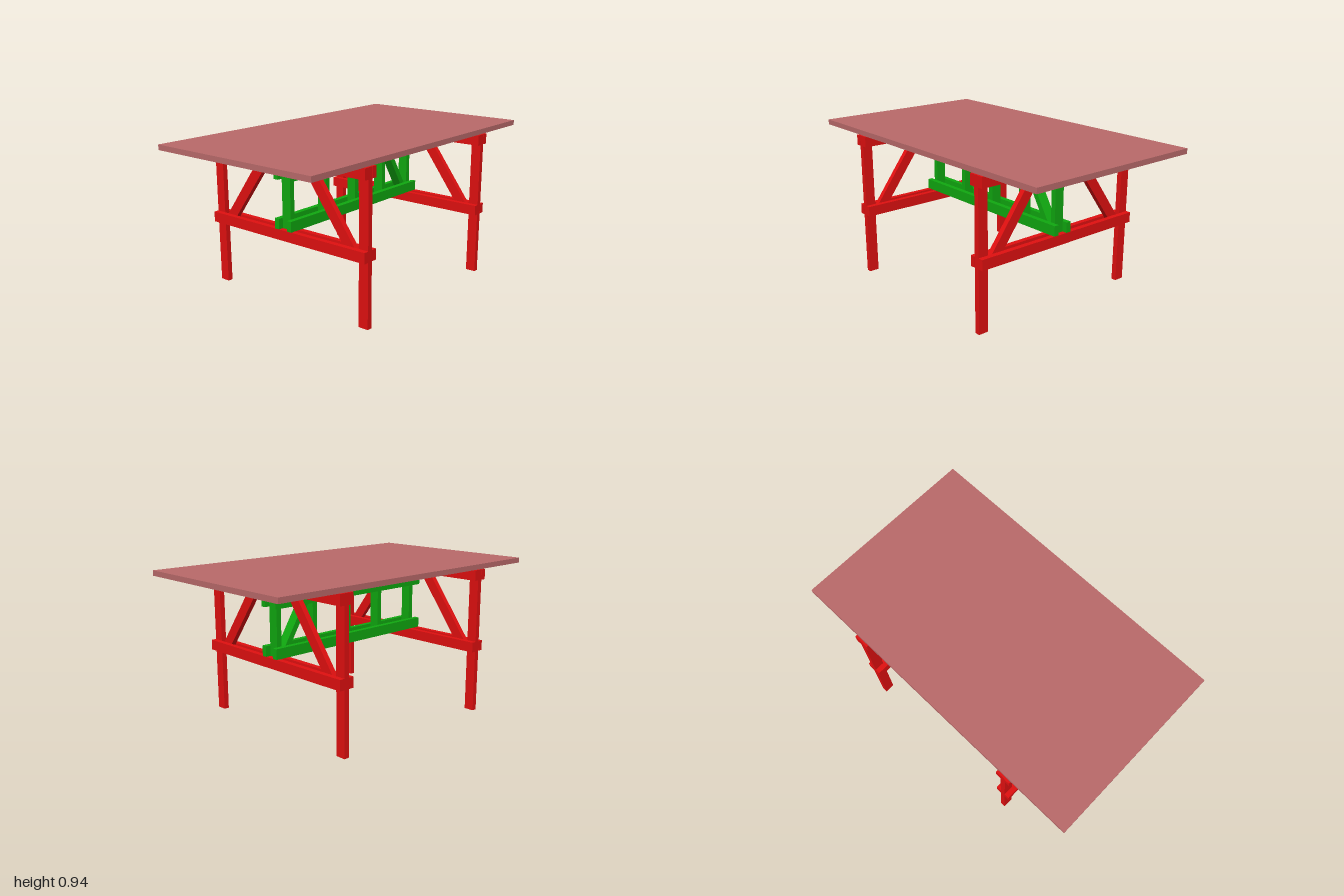
import * as THREE from 'three';

const T = 0.032;                 // plank thickness
const FRAME_Z = 0.565;           // centre plane of each trestle frame
const LOW = [0.389, 0.452], HIGH = [0.841, 0.905];     // trestle rail heights
const BEAM_LOW = [0.452, 0.515], BEAM_HIGH = [0.745, 0.808];

const red = new THREE.MeshStandardMaterial({ color: 0xe01010 });
const green = new THREE.MeshStandardMaterial({ color: 0x10a810 });
const topColor = new THREE.MeshStandardMaterial({ color: 0xb96a6a });

// Box given by its extents along each axis
function plank(parent, name, material, [x0, x1], [y0, y1], [z0, z1]) {
  const mesh = new THREE.Mesh(new THREE.BoxGeometry(x1 - x0, y1 - y0, z1 - z0), material);
  mesh.position.set((x0 + x1) / 2, (y0 + y1) / 2, (z0 + z1) / 2);
  mesh.name = name;
  parent.add(mesh);
}

// Flat board with a polygon outline, centred on its own plane
function board(parent, name, material, points, depth) {
  const shape = new THREE.Shape(points.map(([x, y]) => new THREE.Vector2(x, y)));
  const geometry = new THREE.ExtrudeGeometry(shape, { depth, bevelEnabled: false });
  geometry.translate(0, 0, -depth / 2);
  const mesh = new THREE.Mesh(geometry, material);
  mesh.name = name;
  parent.add(mesh);
  return mesh;
}

const around = (c, size) => [c - size / 2, c + size / 2];

// Trestle: two legs, two slanted braces and a post clasped by doubled rails
function trestle(name, z) {
  const g = new THREE.Group();
  g.name = name;
  for (const s of [-1, 1]) {
    plank(g, 'leg', red, around(s * 0.56, 0.063), [0, HIGH[1]], around(0, T));
    const outline = [[0.081, 0.905], [0.466, 0.389], [0.53, 0.389], [0.53, 0.409], [0.161, 0.905]];
    board(g, 'legBrace', red, outline.map(([x, y]) => [s * x, y]), T);
    plank(g, 'upperRail', red, [-0.593, 0.593], HIGH, around(s * T, T));
    plank(g, 'lowerRail', red, [-0.593, 0.593], LOW, around(s * T, T));
  }
  plank(g, 'centrePost', green, around(0, 0.064), [LOW[0], HIGH[1]], around(0, T));
  g.position.z = z;
  return g;
}

export function createModel() {
  const model = new THREE.Group();
  model.name = 'trestleTable';

  plank(model, 'tableTop', topColor, [-0.58, 0.58], [0.905, 0.937], [-1, 1]);
  model.add(trestle('frontTrestle', FRAME_Z), trestle('backTrestle', -FRAME_Z));

  // Long truss joining the trestles
  const truss = new THREE.Group();
  truss.name = 'truss';
  model.add(truss);
  for (const s of [-1, 1]) {
    plank(truss, 'lowerBeam', green, around(s * 0.048, T), BEAM_LOW, [-0.613, 0.613]);
    plank(truss, 'upperBeam', green, around(s * 0.048, T), BEAM_HIGH, [-0.613, 0.613]);
  }
  for (const z of [0.262, -0.015, -0.292])
    plank(truss, 'trussPost', green, around(0, 0.064), [BEAM_LOW[0], BEAM_HIGH[1]], around(z, T));

  // Single diagonal at the back; outline x runs toward -z after the turn
  const brace = board(truss, 'trussBrace', green,
    [[0.301, 0.808], [0.519, 0.452], [0.549, 0.452], [0.549, 0.468], [0.341, 0.808]], 0.064);
  brace.rotation.y = Math.PI / 2;

  return model;
}
